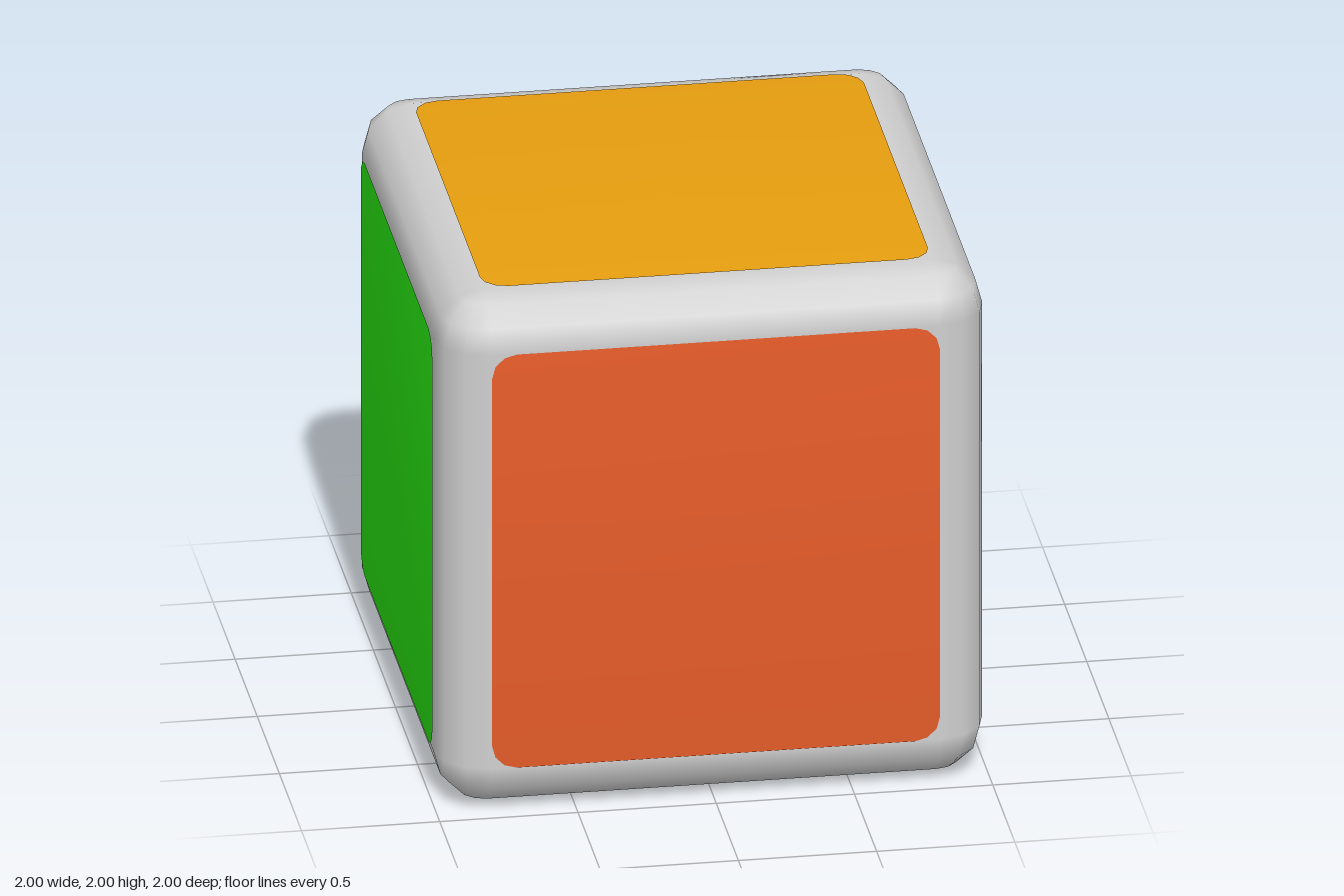
import * as THREE from 'three';

const HALF = 0.992;   // half size of the body
const FLAT = 0.81;    // half size of each flat face
const R = HALF - FLAT;
const STEPS = 3;      // facets in each rounded edge

// Rounded cube: a sphere pulled apart into eight octants, with smooth normals
function roundedCube() {
  const pos = [], nor = [], idx = [];
  const cols = 4 * (STEPS + 1), rows = 2 * (STEPS + 1);
  for (let r = 0; r < rows; r++) {
    const half = Math.floor(r / (STEPS + 1));
    const theta = (half + (r % (STEPS + 1)) / STEPS) * Math.PI / 2;
    for (let c = 0; c < cols; c++) {
      const quad = Math.floor(c / (STEPS + 1));
      const phi = (quad + (c % (STEPS + 1)) / STEPS) * Math.PI / 2;
      const n = [Math.sin(theta) * Math.sin(phi), Math.cos(theta), Math.sin(theta) * Math.cos(phi)];
      const corner = [quad < 2 ? FLAT : -FLAT, half ? -FLAT : FLAT, quad === 0 || quad === 3 ? FLAT : -FLAT];
      n.forEach((v, i) => pos.push(corner[i] + R * v));
      nor.push(...n);
    }
  }
  for (let r = 0; r < rows - 1; r++) {
    for (let c = 0; c < cols; c++) {
      const a = r * cols + c, b = r * cols + (c + 1) % cols;
      idx.push(a, a + cols, b, b, a + cols, b + cols);
    }
  }
  // Flat caps on the top and bottom
  const q = STEPS + 1, low = (rows - 1) * cols;
  idx.push(0, q, 2 * q, 0, 2 * q, 3 * q);
  idx.push(low, low + 2 * q, low + q, low, low + 3 * q, low + 2 * q);
  return build(pos, nor, idx);
}

// Slightly domed square panel with clipped corners, facing +z
function domedPanel() {
  const pos = [0, 0, 1], nor = [0, 0, 1], idx = [];
  const radius = 0.09, arc = 3, count = 4 * (arc + 1);
  for (let k = 0; k < 4; k++) {
    for (let s = 0; s <= arc; s++) {
      const a = (k + s / arc) * Math.PI / 2;
      const sx = k === 0 || k === 3 ? 1 : -1, sy = k < 2 ? 1 : -1;
      const x = sx * (FLAT - radius) + radius * Math.cos(a);
      const y = sy * (FLAT - radius) + radius * Math.sin(a);
      pos.push(x, y, 0.996);
      nor.push(...new THREE.Vector3(x * 0.07, y * 0.07, 1).normalize().toArray());
    }
  }
  for (let i = 0; i < count; i++) idx.push(0, 1 + i, 1 + (i + 1) % count);
  return build(pos, nor, idx);
}

function build(pos, nor, idx) {
  const g = new THREE.BufferGeometry();
  g.setAttribute('position', new THREE.Float32BufferAttribute(pos, 3));
  g.setAttribute('normal', new THREE.Float32BufferAttribute(nor, 3));
  g.setIndex(idx);
  return g;
}

function material(name, color) {
  const m = new THREE.MeshStandardMaterial({ color });
  m.name = name;
  return m;
}

export function createModel() {
  const model = new THREE.Group();
  model.name = 'panelledCube';
  const grey = material('lightGrey', 0xd0d0d0);
  const red = material('orangeRed', 0xe75c29);
  const green = material('brightGreen', 0x28e712);
  const amber = material('amber', 0xe79e0f);

  const body = new THREE.Mesh(roundedCube(), grey);
  body.name = 'body';
  body.position.y = 1;
  model.add(body);

  // One panel per face; opposite faces share a colour
  const panel = domedPanel(), H = Math.PI / 2;
  const faces = [
    ['frontPanel', red, 0, 0], ['backPanel', red, 0, Math.PI],
    ['leftPanel', green, 0, H], ['rightPanel', green, 0, -H],
    ['topPanel', amber, -H, 0], ['bottomPanel', amber, H, 0],
  ];
  for (const [name, mat, rx, ry] of faces) {
    const mesh = new THREE.Mesh(panel, mat);
    mesh.name = name;
    mesh.rotation.set(rx, ry, 0);
    mesh.position.y = 1;
    model.add(mesh);
  }
  return model;
}
